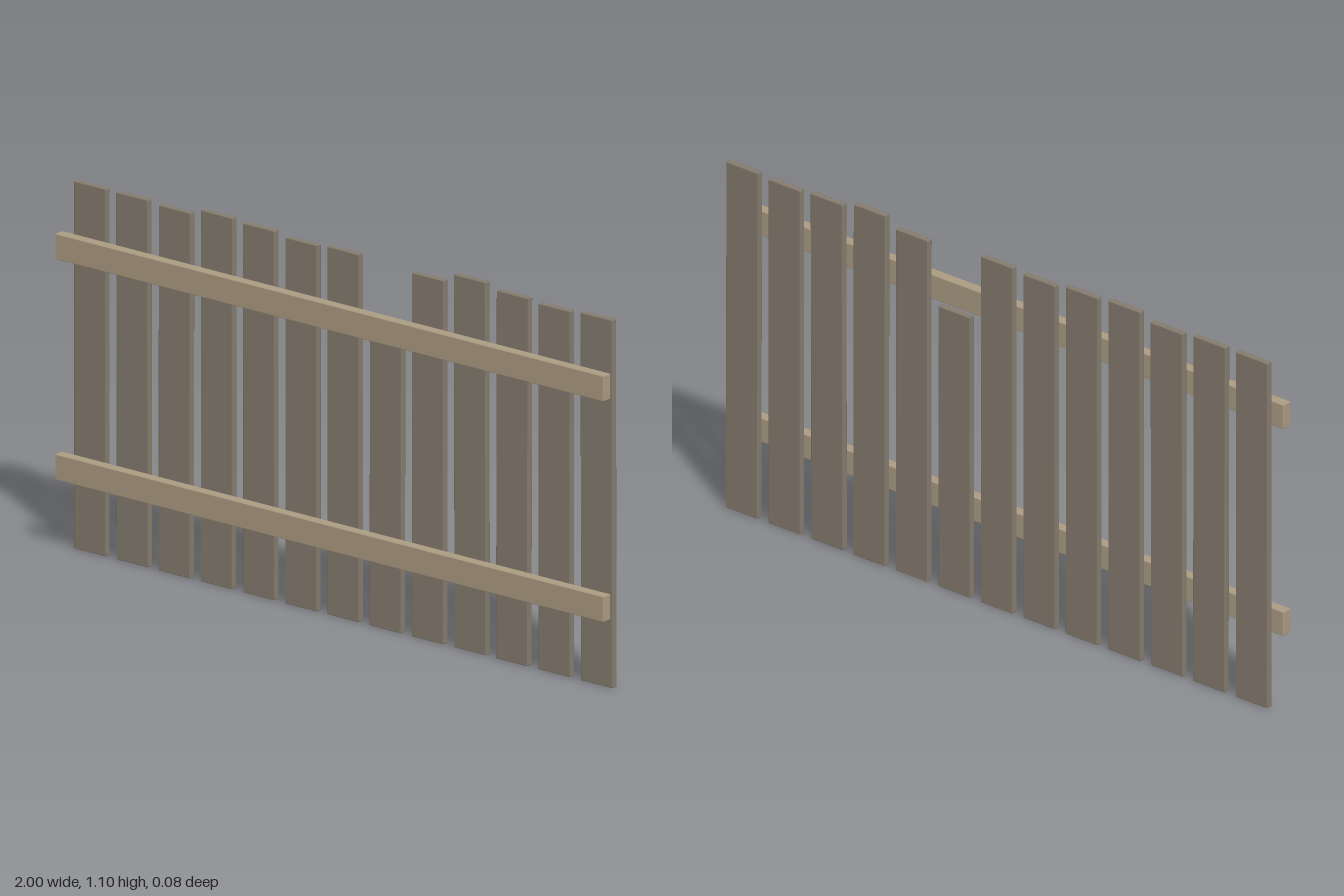
import * as THREE from 'three';
import { RoundedBoxGeometry } from 'three/addons/geometries/RoundedBoxGeometry.js';

// Plank heights from -x to +x; one is broken off short
const HEIGHTS = [1.083, 1.083, 1.077, 1.095, 1.089, 1.079, 1.085, 0.88, 1.072, 1.1, 1.085, 1.079, 1.085];

export function createModel() {
  const group = new THREE.Group();
  const plankMaterial = new THREE.MeshStandardMaterial({ color: 0x857b6e });
  const railMaterial = new THREE.MeshStandardMaterial({ color: 0xab9b82 });

  // Box with slightly eased edges
  function board(name, size, position, material) {
    const mesh = new THREE.Mesh(new RoundedBoxGeometry(...size, 1, 0.003), material);
    mesh.name = name;
    mesh.position.set(...position);
    group.add(mesh);
    return mesh;
  }

  // Upright planks, each a touch out of plumb
  HEIGHTS.forEach((height, i) => {
    const x = (i - 6) * 0.154;
    const plank = board('plank', [0.116, height, 0.02], [x, height / 2, -0.029], plankMaterial);
    plank.rotation.x = 0.0015 * Math.sin(i * 2.3);
    plank.rotation.z = 0.0015 * Math.sin(i * 1.7);
  });

  // Two horizontal rails across the front
  board('lowerRail', [2, 0.076, 0.033], [0, 0.252, 0.0255], railMaterial);
  board('upperRail', [2, 0.076, 0.033], [0, 0.902, 0.0255], railMaterial);

  return group;
}
